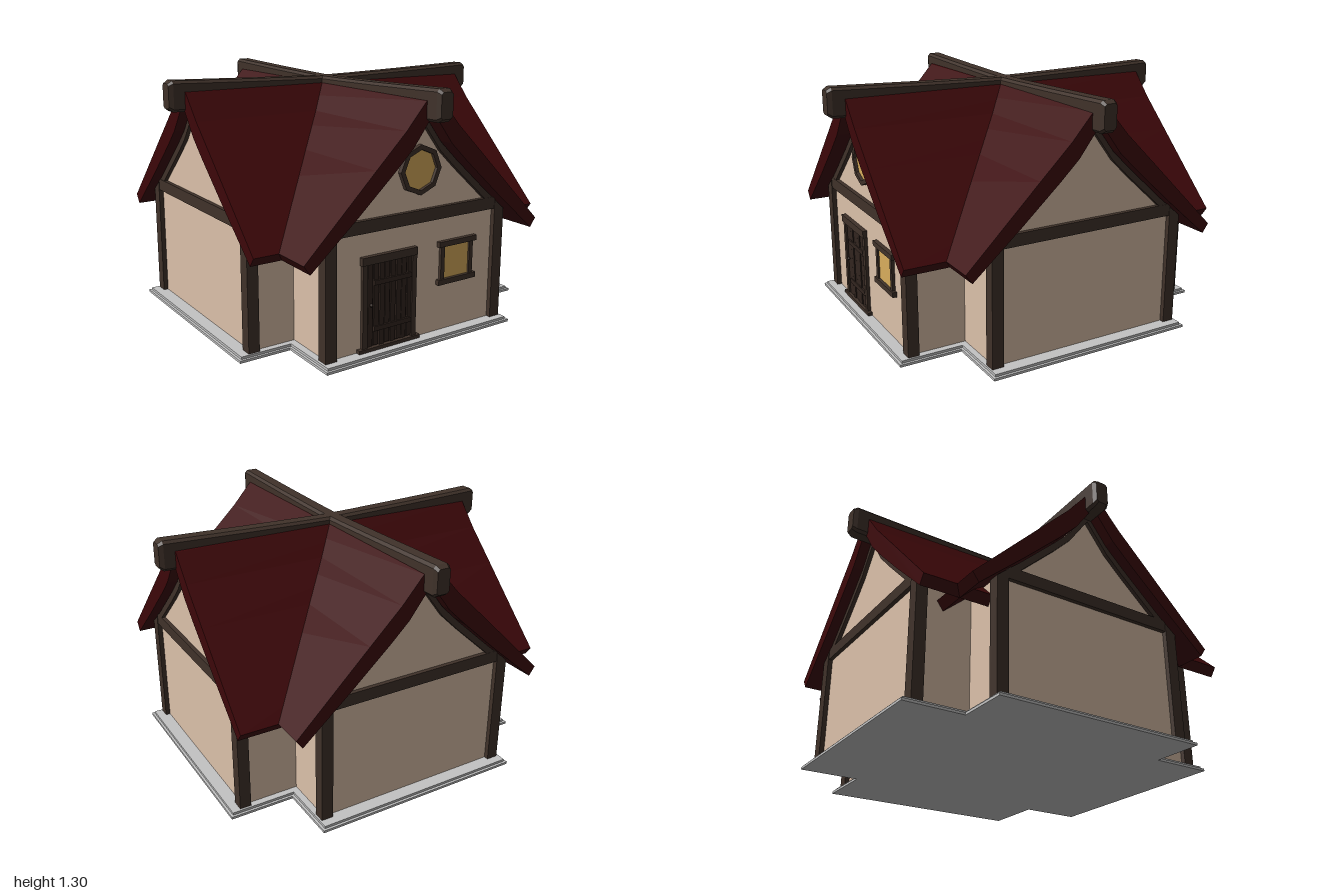
import * as THREE from 'three';

const mat = (name, color) => {
  const m = new THREE.MeshStandardMaterial({ color });
  m.name = name;
  return m;
};

// Half profiles of the gable: [distance from ridge, height]
const roofTop = [[0, 1.25], [0.046, 1.235], [0.16, 1.105], [0.33, 0.94], [0.717, 0.562]];
const roofUnder = [[0, 1.175], [0.117, 1.02], [0.216, 0.925], [0.43, 0.733], [0.683, 0.515]];
const gableEdge = [[0, 1.17], [0.117, 1.015], [0.216, 0.92], [0.43, 0.728], [0.545, 0.632]];
const lower = (pts, d) => pts.map(([x, y]) => [x, y - d]);
const mirrored = (pts) => [...pts.slice(1).reverse().map(([x, y]) => [-x, y]), ...pts];

function extrude(pts, z0, z1) {
  const shape = new THREE.Shape(pts.map(([x, y]) => new THREE.Vector2(x, y)));
  const g = new THREE.ExtrudeGeometry(shape, { depth: z1 - z0, bevelEnabled: false });
  return g.translate(0, 0, z0);
}

function add(parent, name, geometry, material, x = 0, y = 0, z = 0) {
  const m = new THREE.Mesh(geometry, material);
  m.name = name;
  m.position.set(x, y, z);
  parent.add(m);
  return m;
}

// Box given by its minimum and maximum on each axis
function box(parent, name, material, x0, x1, y0, y1, z0, z1) {
  return add(parent, name, new THREE.BoxGeometry(x1 - x0, y1 - y0, z1 - z0), material,
    (x0 + x1) / 2, (y0 + y1) / 2, (z0 + z1) / 2);
}

// Sagging ridge beam along z with chamfered edges and ends
function beamGeometry(z0, z1, drift) {
  const w = 0.044, h = 0.078, c = 0.014;
  const section = [[w, c - h], [w, h - c], [w - c, h], [c - w, h], [-w, h - c], [-w, c - h], [c - w, -h], [w - c, -h]];
  const length = z1 - z0, pos = [], index = [];
  const stations = [0, 0.012, 0.08, 0.25, 0.42, 0.5, 0.58, 0.75, 0.92, 0.988, 1];
  stations.forEach((t, i) => {
    const s = i === 0 || i === stations.length - 1 ? 0.8 : 1;
    const e = Math.abs(2 * t - 1);
    const cy = 1.193 + 0.026 * Math.pow(e, 1.3), cx = drift * (t - 0.5);
    section.forEach(([x, y]) => pos.push(cx + x * s, cy + y * s, z0 + length * t));
  });
  const n = section.length, last = (stations.length - 1) * n;
  for (let r = 0; r < stations.length - 1; r++) {
    for (let k = 0; k < n; k++) {
      const a = r * n + k, b = r * n + (k + 1) % n;
      index.push(a, b, b + n, a, b + n, a + n);
    }
  }
  for (let k = 1; k < n - 1; k++) {
    index.push(0, k + 1, k, last, last + k, last + k + 1);
  }
  const g = new THREE.BufferGeometry();
  g.setAttribute('position', new THREE.Float32BufferAttribute(pos, 3));
  g.setIndex(index);
  const flat = g.toNonIndexed();
  flat.computeVertexNormals();
  return flat;
}

// One straight wing of the cross-shaped house, running along z
function makeWing(name, M, ends, eaves, ridge, drift) {
  const wing = new THREE.Group();
  wing.name = name;
  const [zb, zf] = ends;

  const wallTop = mirrored([...gableEdge.slice(0, 4), [0.53, 0.64]]);
  add(wing, 'walls', extrude([[-0.53, 0.015], ...wallTop, [0.53, 0.015]], zb + 0.025, zf - 0.025), M.plaster);

  const roof = [...mirrored(roofTop), ...mirrored(roofUnder).reverse()];
  add(wing, 'roof', extrude(roof, eaves[0], eaves[1]), M.roof);
  add(wing, 'ridgeBeam', beamGeometry(ridge[0], ridge[1], drift), M.timber);

  // Timber frame on both gables
  const rafters = [...mirrored(gableEdge), ...mirrored(lower(gableEdge, 0.045)).reverse()];
  for (const end of [-1, 1]) {
    const outer = end > 0 ? zf : zb;
    const inner = outer - end * 0.06;
    const z0 = Math.min(outer, inner), z1 = Math.max(outer, inner);
    for (const side of [-1, 1]) {
      const corner = [[side * 0.492, 0.02], [side * 0.555, 0.02], [side * 0.555, 0.622], [side * 0.492, 0.672]];
      add(wing, 'cornerPost', extrude(corner, z0, z1), M.timber);
    }
    add(wing, 'gableRafters', extrude(rafters, z0 + 0.004, z1 - 0.004), M.timber);
    box(wing, 'tieBeam', M.timber, -0.495, 0.495, 0.627, 0.69, z0 + 0.003, z1 - 0.003);
  }
  return wing;
}

// Cross-shaped slab, inset by d
function crossSlab(d, y0, y1) {
  const [ax0, ax1, az0, az1] = [-0.612 + d, 0.547 - d, -0.925 + d, 0.882 - d];
  const [bx0, bx1, bz0, bz1] = [-0.888 + d, 0.888 - d, -0.605 + d, 0.55 - d];
  const pts = [[ax0, az0], [ax1, az0], [ax1, bz0], [bx1, bz0], [bx1, bz1], [ax1, bz1],
    [ax1, az1], [ax0, az1], [ax0, bz1], [bx0, bz1], [bx0, bz0], [ax0, bz0]];
  return extrude(pts, 0, y1 - y0).rotateX(Math.PI / 2).translate(0, y1, 0);
}

function makeDoor(M, wall) {
  const door = new THREE.Group();
  door.name = 'door';
  box(door, 'doorBacking', M.darkWood, -0.345, -0.055, 0.03, 0.47, wall - 0.01, wall + 0.004);
  const planks = 8, w = 0.272 / planks;
  for (let i = 0; i < planks; i++) {
    const x = -0.337 + i * w;
    box(door, 'doorPlank', M.darkWood, x + 0.003, x + w - 0.003, 0.045 + 0.004 * (i % 2), 0.465, wall, wall + 0.01 + 0.002 * (i % 3));
  }
  for (const y of [0.135, 0.37]) {
    box(door, 'doorBatten', M.darkWood, -0.3, -0.075, y - 0.012, y + 0.012, wall, wall + 0.019);
  }
  for (const x of [-0.355, -0.057]) {
    box(door, 'doorJamb', M.timber, x - 0.014, x + 0.014, 0.03, 0.47, wall - 0.01, wall + 0.018);
  }
  box(door, 'doorLintel', M.timber, -0.377, -0.045, 0.468, 0.508, wall - 0.01, wall + 0.024);
  box(door, 'doorStep', M.timber, -0.392, -0.02, 0.02, 0.044, wall - 0.01, wall + 0.025);
  add(door, 'doorHandle', new THREE.SphereGeometry(0.009, 8, 6), M.darkWood, -0.318, 0.26, wall + 0.016);
  return door;
}

function makeWindow(M, wall) {
  const win = new THREE.Group();
  win.name = 'window';
  box(win, 'windowPane', M.glass, 0.13, 0.31, 0.3, 0.48, wall, wall + 0.006);
  for (const x of [0.126, 0.315]) {
    box(win, 'windowJamb', M.timber, x - 0.012, x + 0.012, 0.3, 0.48, wall - 0.01, wall + 0.016);
  }
  for (const y of [0.29, 0.49]) {
    box(win, 'windowRail', M.timber, 0.097, 0.345, y - 0.014, y + 0.014, wall - 0.01, wall + 0.023);
  }
  return win;
}

function makeRoundWindow(M, wall) {
  const win = new THREE.Group();
  win.name = 'octagonalWindow';
  win.position.set(-0.033, 0.89, wall);
  const ring = (r) => Array.from({ length: 8 }, (_, i) =>
    new THREE.Vector2(r * Math.cos(i * Math.PI / 4), r * Math.sin(i * Math.PI / 4)));
  const frame = new THREE.Shape(ring(0.125));
  frame.holes.push(new THREE.Path(ring(0.1).reverse()));
  add(win, 'octagonalFrame', new THREE.ExtrudeGeometry(frame, { depth: 0.033, bevelEnabled: false }), M.timber, 0, 0, -0.01);
  add(win, 'octagonalPane', new THREE.ExtrudeGeometry(new THREE.Shape(ring(0.105)), { depth: 0.006, bevelEnabled: false }), M.glass);
  return win;
}

export function createModel() {
  const M = {
    plaster: mat('plaster', 0xdcc1aa),
    timber: mat('timber', 0x40322a),
    darkWood: mat('darkWood', 0x32251f),
    roof: mat('roofRed', 0x3d0709),
    glass: mat('amberGlass', 0xd9ad5d),
    stone: mat('stone', 0xc3c3c3),
  };
  const house = new THREE.Group();
  house.name = 'cottage';

  add(house, 'foundationBase', crossSlab(0, 0, 0.013), M.stone);
  add(house, 'foundationTop', crossSlab(0.013, 0.013, 0.026), M.stone);

  const frontBack = makeWing('frontBackWing', M, [-0.866, 0.83], [-0.915, 0.905], [-1, 0.995], 0);
  frontBack.position.x = -0.031;
  const sides = makeWing('sideWing', M, [-0.83, 0.83], [-0.88, 0.88], [-0.962, 0.96], -0.015);
  sides.rotation.y = Math.PI / 2;
  sides.position.z = -0.026;
  house.add(frontBack, sides);

  // Openings on the front gable
  const wall = 0.805;
  house.add(makeDoor(M, wall), makeWindow(M, wall), makeRoundWindow(M, wall));
  return house;
}
